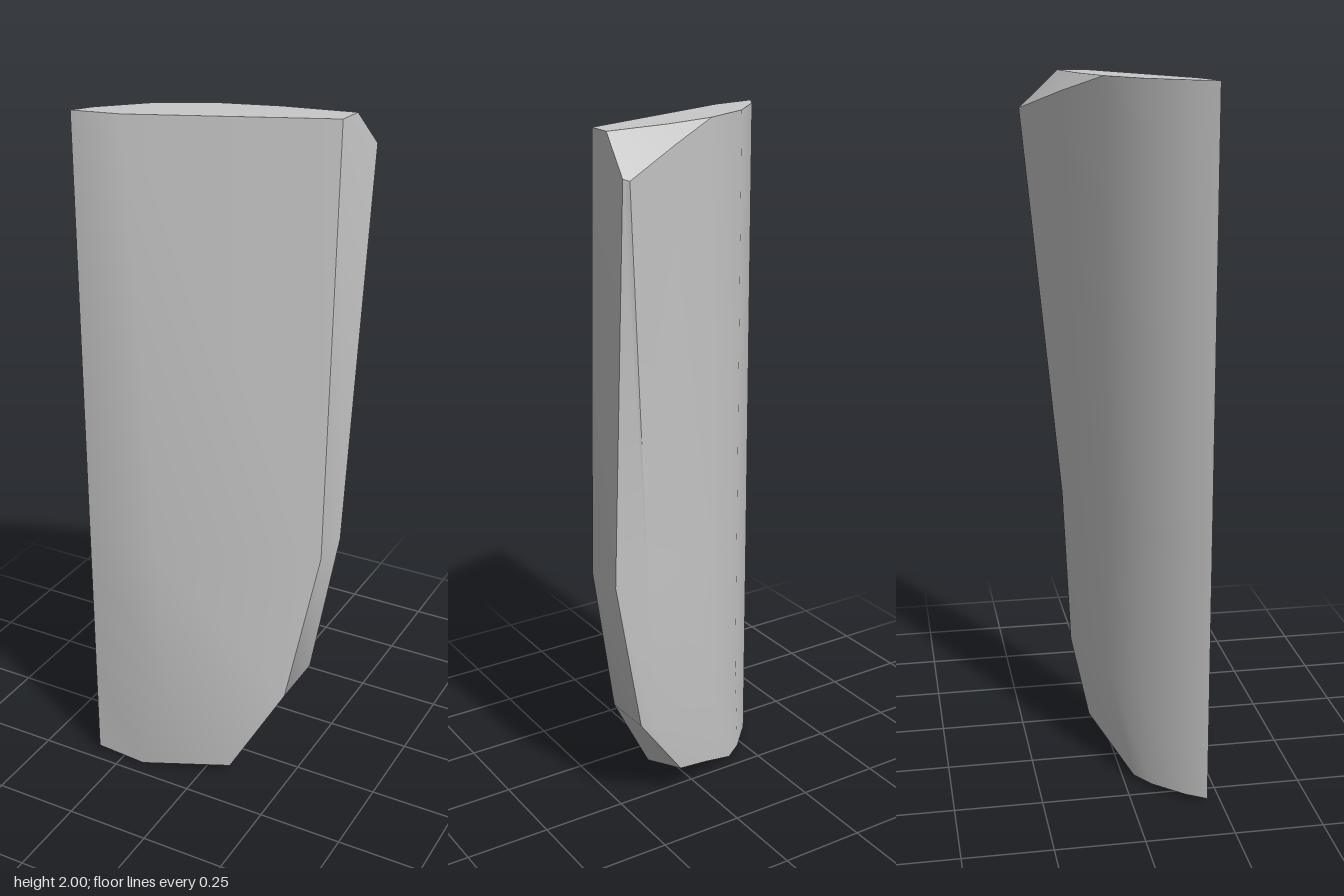
import * as THREE from 'three';
import { toCreasedNormals } from 'three/addons/utils/BufferGeometryUtils.js';

// Cross-sections from top to bottom. Each loop runs: sharp left edge, front bulge,
// front right corner, two back right corners, then along the back to the left edge.
const SECTIONS = [
  [[-0.333, 2, 0.21], [-0.2, 2, 0.185], [0.312, 2, -0.03], [0.317, 2, -0.11], [0.317, 2, -0.11],
    [0.12, 2, -0.08], [-0.04, 2, -0.035], [-0.19, 2, 0.045], [-0.3, 2, 0.155]],
  [[-0.333, 2, 0.21], [-0.2, 2, 0.185], [0.312, 2, -0.03], [0.332, 1.9, -0.212], [0.318, 1.895, -0.222],
    [0.13, 1.953, -0.125], [-0.04, 2, -0.035], [-0.19, 2, 0.045], [-0.3, 2, 0.155]],
  [[-0.333, 0.77, 0.21], [-0.113, 0.77, 0.21], [0.315, 0.77, 0.023], [0.315, 0.77, -0.108], [0.22, 0.77, -0.122],
    [0.1, 0.77, -0.09], [-0.05, 0.77, -0.033], [-0.19, 0.77, 0.045], [-0.3, 0.77, 0.155]],
  [[-0.333, 0.3, 0.21], [-0.08, 0.3, 0.22], [0.23, 0.3, 0.065], [0.235, 0.31, -0.1], [0.19, 0.3, -0.103],
    [0.08, 0.3, -0.085], [-0.06, 0.3, -0.03], [-0.19, 0.3, 0.045], [-0.3, 0.3, 0.155]],
  [[-0.333, 0.015, 0.21], [-0.18, 0, 0.205], [0.08, 0.03, 0.125], [0.08, 0.1, -0.065], [0.08, 0.1, -0.065],
    [-0.04, 0.06, -0.02], [-0.16, 0.012, 0.03], [-0.22, 0.012, 0.072], [-0.3, 0.015, 0.155]],
];

// Joins the loops with side faces and closes both ends.
function loft(sections) {
  const positions = [];
  const same = (p, q) => p.every((v, k) => v === q[k]);
  const triangle = (a, b, c) => {
    if (!same(a, b) && !same(b, c) && !same(a, c)) positions.push(...a, ...b, ...c);
  };
  const n = sections[0].length;
  for (let i = 0; i < sections.length - 1; i++) {
    for (let j = 0; j < n; j++) {
      const k = (j + 1) % n;
      const [upper, lower] = [sections[i], sections[i + 1]];
      triangle(upper[j], lower[j], lower[k]);
      triangle(upper[j], lower[k], upper[k]);
    }
  }
  const top = sections[0];
  const bottom = sections[sections.length - 1];
  for (let j = 1; j < n - 1; j++) {
    triangle(top[0], top[j], top[j + 1]);
    triangle(bottom[0], bottom[j + 1], bottom[j]);
  }
  const geometry = new THREE.BufferGeometry();
  geometry.setAttribute('position', new THREE.Float32BufferAttribute(positions, 3));
  return toCreasedNormals(geometry, 0.65);
}

export function createModel() {
  const model = new THREE.Group();
  model.name = 'stoneBlade';

  const stone = new THREE.MeshStandardMaterial({ color: 0xc8c8c8 });
  stone.name = 'light grey stone';

  // Slanted slab with a bevelled top corner and a tapering foot
  const blade = new THREE.Mesh(loft(SECTIONS), stone);
  blade.name = 'blade';
  model.add(blade);

  return model;
}
